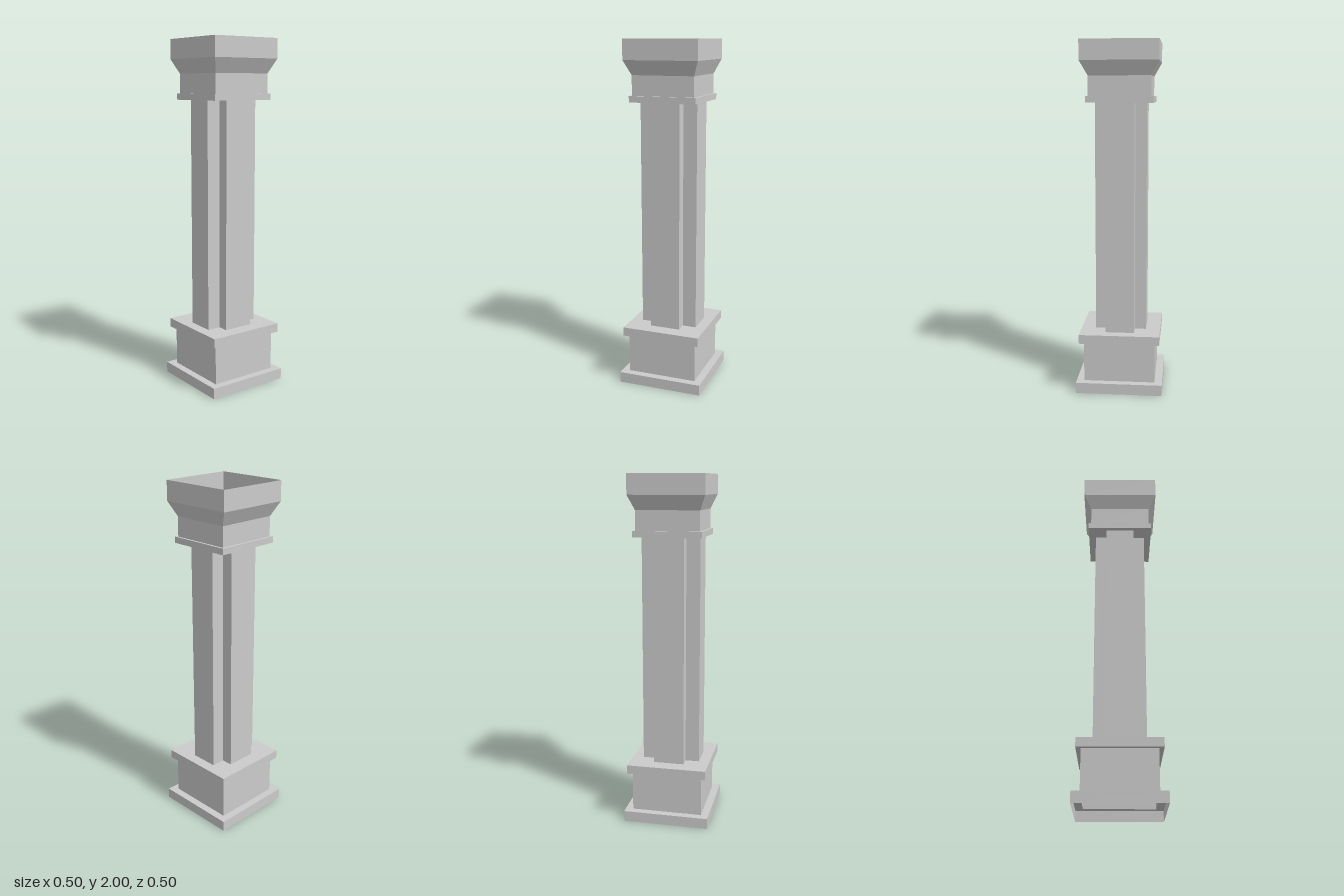
import * as THREE from 'three';

const material = new THREE.MeshStandardMaterial({
  color: 0xcccccc, flatShading: true, side: THREE.DoubleSide,
});

// Rectangular outline, corners running counterclockwise seen from above
const rect = (w, d) => [[w, d], [w, -d], [-w, -d], [-w, d]];

// Open shell joining a stack of outlines; each section is { y, outline }
function loft(name, sections) {
  const pos = [];
  for (let i = 0; i < sections.length - 1; i++) {
    const lo = sections[i], hi = sections[i + 1], n = lo.outline.length;
    for (let j = 0; j < n; j++) {
      const k = (j + 1) % n;
      const at = (s, m) => [s.outline[m][0], s.y, s.outline[m][1]];
      const a = at(lo, j), b = at(lo, k), c = at(hi, k), d = at(hi, j);
      pos.push(...a, ...b, ...c, ...a, ...c, ...d);
    }
  }
  const geometry = new THREE.BufferGeometry();
  geometry.setAttribute('position', new THREE.Float32BufferAttribute(pos, 3));
  geometry.computeVertexNormals();
  const mesh = new THREE.Mesh(geometry, material);
  mesh.name = name;
  return mesh;
}

// Horizontal sheet closing a shell; facing is 1 for up, -1 for down
function sheet(name, w, d, y, facing) {
  const geometry = new THREE.PlaneGeometry(2 * w, 2 * d).rotateX(-facing * Math.PI / 2);
  const mesh = new THREE.Mesh(geometry, material);
  mesh.position.y = y;
  mesh.name = name;
  return mesh;
}

// Turns [halfWidth, halfDepth, y] rows into sections
const rects = rows => rows.map(([w, d, y]) => ({ y, outline: rect(w, d) }));

export function createModel() {
  const column = new THREE.Group();
  column.name = 'column';
  const shaftBottom = 0.345, shaftTop = 1.66;

  // Hollow pedestal, open underneath: foot slab, block and top slab
  column.add(loft('pedestal', rects([
    [0.248, 0.248, 0], [0.248, 0.248, 0.062],
    [0.204, 0.204, 0.062], [0.204, 0.204, 0.293],
    [0.231, 0.231, 0.293], [0.231, 0.231, shaftBottom],
  ])));
  column.add(sheet('pedestalTop', 0.231, 0.231, shaftBottom, 1));

  // Cross-shaped shaft with notched corners
  const X = 0.168, Z = 0.147, x = 0.088, z = 0.082;
  const cross = [
    [x, Z], [x, z], [X, z], [X, -z], [x, -z], [x, -Z],
    [-x, -Z], [-x, -z], [-X, -z], [-X, z], [-x, z], [-x, Z],
  ];
  column.add(loft('shaft', [
    { y: shaftBottom, outline: cross }, { y: shaftTop, outline: cross },
  ]));

  // Hollow capital, open on top: collar, neck, flare and rim
  column.add(sheet('collarUnderside', 0.193, 0.188, shaftTop, -1));
  column.add(loft('capital', rects([
    [0.193, 0.188, shaftTop], [0.193, 0.188, 1.695],
    [0.18, 0.174, 1.695], [0.18, 0.174, 1.807],
    [0.214, 0.218, 1.888], [0.214, 0.218, 2],
  ])));

  return column;
}
